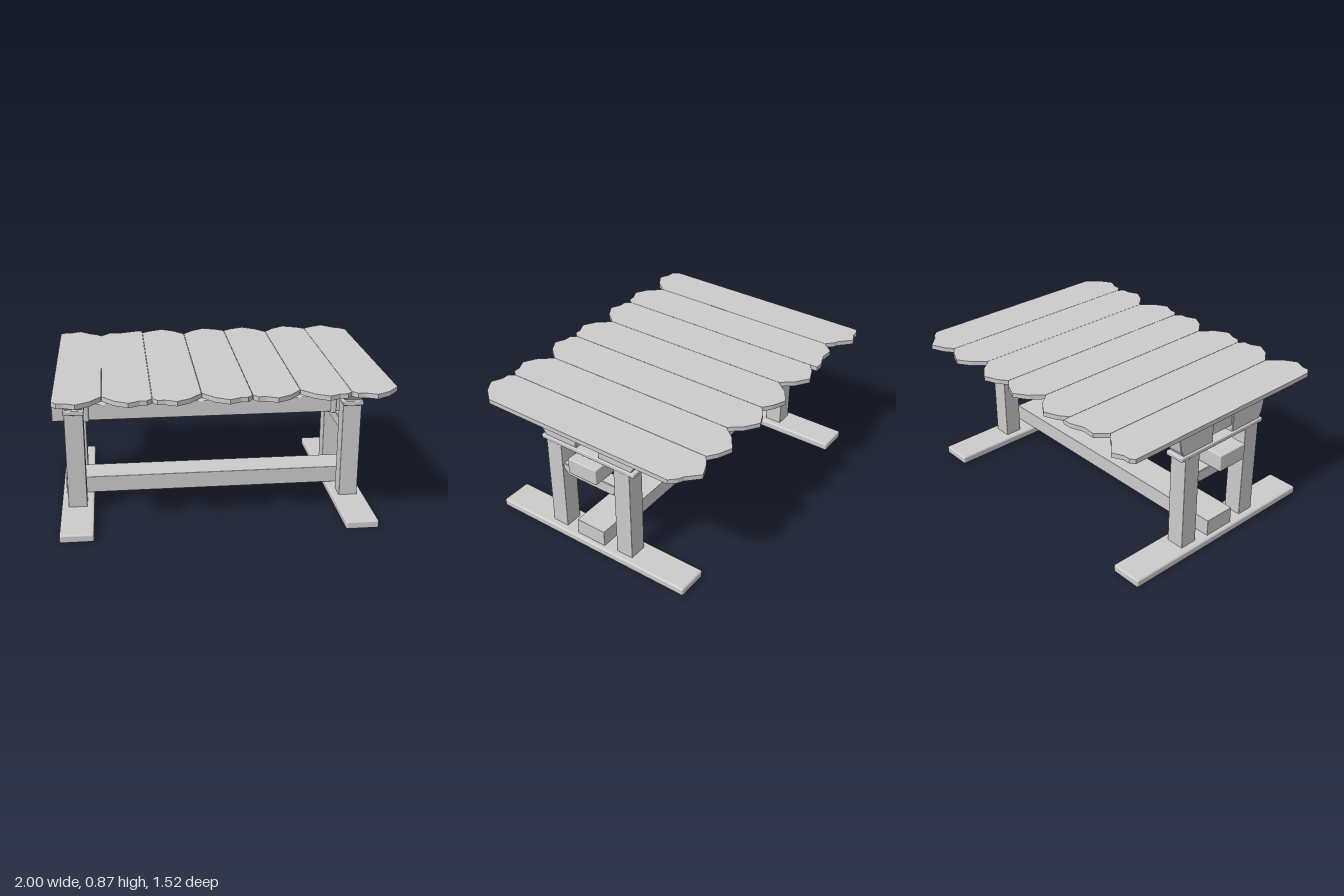
import * as THREE from 'three';
import { RoundedBoxGeometry } from 'three/addons/geometries/RoundedBoxGeometry.js';

const material = new THREE.MeshStandardMaterial({ color: 0xcccccc });

function add(parent, name, geometry) {
  const mesh = new THREE.Mesh(geometry, material);
  mesh.name = name;
  parent.add(mesh);
  return mesh;
}

// Box from its limits on each axis, with an optional eased edge
function box(parent, name, [x0, x1], [y0, y1], [z0, z1], ease = 0) {
  const size = [x1 - x0, y1 - y0, z1 - z0];
  const geometry = ease ? new RoundedBoxGeometry(...size, 2, ease) : new THREE.BoxGeometry(...size);
  geometry.translate((x0 + x1) / 2, (y0 + y1) / 2, (z0 + z1) / 2);
  return add(parent, name, geometry);
}

const outline = (points) => new THREE.Shape(points.map(([a, b]) => new THREE.Vector2(a, b)));

// Outline in (z, y), extruded along x and centred on x = 0
function profile(parent, name, points, width, bevel = 0.004) {
  const geometry = new THREE.ExtrudeGeometry(outline(points), {
    depth: width - 2 * bevel, bevelEnabled: true, bevelSize: bevel, bevelOffset: -bevel,
    bevelThickness: bevel, bevelSegments: 1,
  });
  geometry.translate(0, 0, -width / 2 + bevel);
  geometry.rotateY(-Math.PI / 2);
  return add(parent, name, geometry);
}

// Ragged plank ends as [fraction of width, z]; planks alternate in direction
const frontEnd = [[0, 0.69], [0.1, 0.725], [0.25, 0.725], [0.48, 0.755], [0.76, 0.71], [1, 0.63]];
const plainBack = [[0, -0.69], [0.19, -0.73], [0.49, -0.765], [0.78, -0.71], [1, -0.635]];
const backEnds = {
  0: [[0, -0.715], [0.1, -0.735], [0.25, -0.735], [0.48, -0.765], [0.75, -0.695], [0.86, -0.68], [1, -0.64]],
  1: [[0, -0.735], [0.19, -0.735], [0.49, -0.705], [0.78, -0.71], [1, -0.64]],
  6: [[0, -0.69], [0.19, -0.73], [0.49, -0.765], [0.75, -0.695], [0.86, -0.68], [1, -0.64]],
};

function buildTop() {
  const top = new THREE.Group();
  top.name = 'tableTop';
  const edges = [-0.96, -0.684, -0.406, -0.126, 0.155, 0.436, 0.719, 1];
  for (let i = 0; i < 7; i++) {
    const x0 = edges[i] + 0.001, x1 = edges[i + 1] - 0.001;
    const place = ([t, z]) => [i % 2 ? x1 + (x0 - x1) * t : x0 + (x1 - x0) * t, z];
    const back = backEnds[i] || plainBack;
    const points = [...frontEnd.map(place), ...[...back].reverse().map(place)];
    const geometry = new THREE.ExtrudeGeometry(outline(points), { depth: 0.028, bevelEnabled: false });
    geometry.rotateX(Math.PI / 2);
    geometry.translate(0, 0.868, 0);
    add(top, 'plank', geometry);
  }
  // Battens under the planks
  box(top, 'batten', [-0.88, 0.88], [0.808, 0.842], [0.455, 0.5], 0.008);
  box(top, 'batten', [-0.88, 0.88], [0.808, 0.842], [-0.495, -0.45], 0.008);
  return top;
}

// One end frame, centred on x = 0; inward is the x direction of the table centre
function buildTrestle(inward) {
  const trestle = new THREE.Group();
  trestle.name = 'trestle';
  box(trestle, 'foot', [-0.1, 0.1], [0, 0.05], [-0.688, 0.69], 0.012);
  box(trestle, 'post', [-0.057, 0.057], [0.045, 0.66], [0.2, 0.31], 0.003);
  box(trestle, 'post', [-0.057, 0.057], [0.045, 0.66], [-0.296, -0.184], 0.003);
  box(trestle, 'capPlate', [-0.062, 0.062], [0.655, 0.683], [-0.33, 0.342], 0.006);

  // Shaped blocks carrying the top
  const outer = [[0.075, 0.683], [0.315, 0.683], [0.34, 0.72], [0.361, 0.842], [0.075, 0.842]];
  profile(trestle, 'topBlock', outer.map(([z, y]) => [z + (z < 0.1 ? 0.013 : 0), y]), 0.108);
  profile(trestle, 'topBlock', outer.map(([z, y]) => [-z + (z < 0.1 ? 0 : 0.01), y]).reverse(), 0.108);
  box(trestle, 'blockTie', [-0.042, 0.042], [0.722, 0.8], [-0.08, 0.092]);

  // Brace below the upper beam
  profile(trestle, 'brace',
    [[-0.16, 0.447], [0.17, 0.447], [0.204, 0.485], [0.204, 0.52], [-0.188, 0.52], [-0.188, 0.485]], 0.09);

  // Collar around the upper beam, on the inner face
  const collar = box(trestle, 'beamCollar', [-0.018, 0.018], [0.525, 0.647], [-0.11, 0.114], 0.012);
  collar.position.x = inward * 0.067;
  return trestle;
}

export function createModel() {
  const table = new THREE.Group();
  table.name = 'trestleTable';
  table.add(buildTop());

  for (const [x, inward] of [[-0.859, 1], [0.829, -1]]) {
    const trestle = buildTrestle(inward);
    trestle.position.x = x;
    table.add(trestle);
  }

  // Long beams joining the trestles
  box(table, 'upperBeam', [-1, 0.94], [0.535, 0.638], [-0.1, 0.104], 0.006);
  box(table, 'lowerBeam', [-0.934, 0.9], [0.05, 0.156], [-0.1, 0.104], 0.003);
  return table;
}
